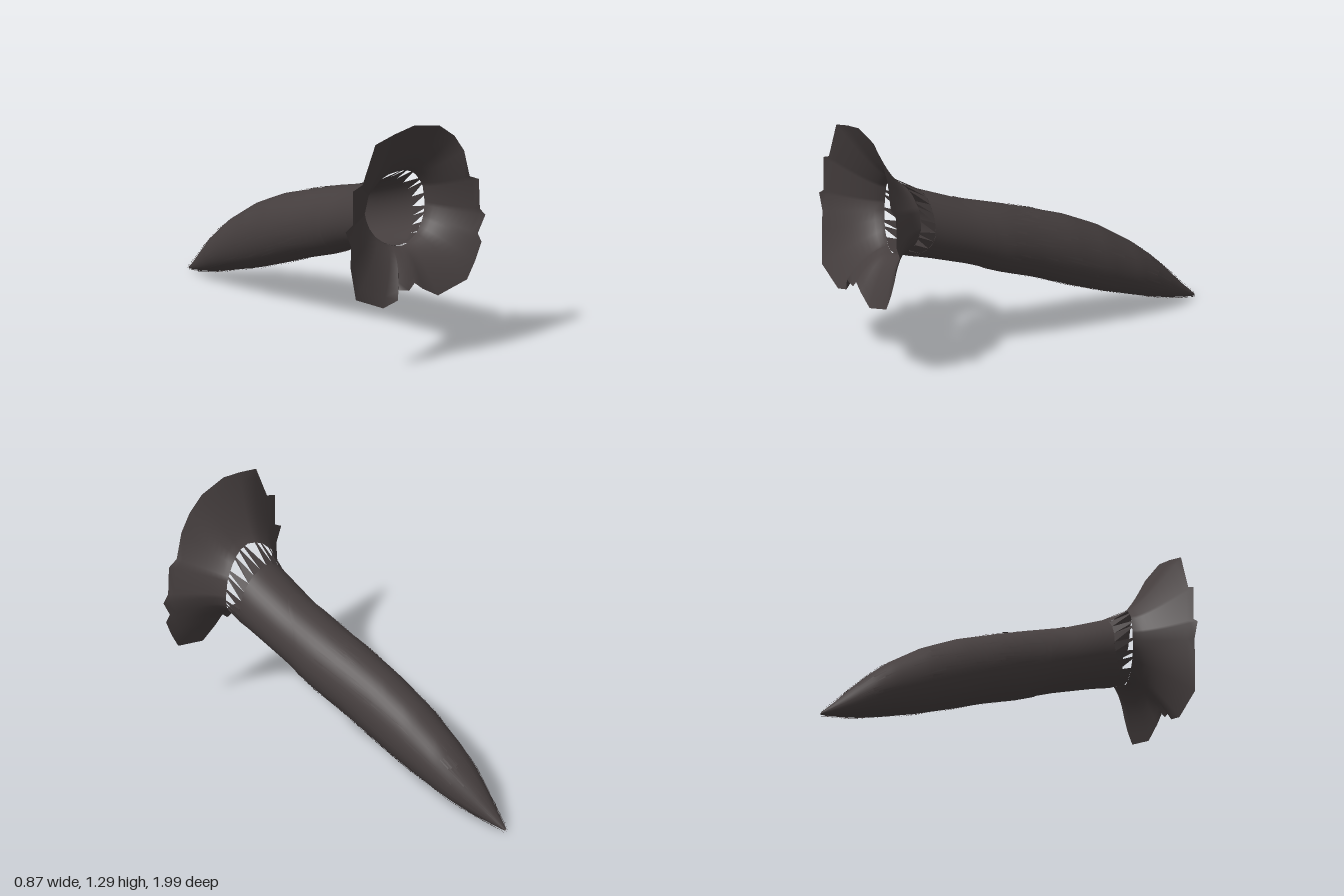
import * as THREE from 'three';

const charcoal = new THREE.MeshStandardMaterial({ color: 0x463f3f, side: THREE.DoubleSide });
charcoal.name = 'charcoal';

// Body stations: z, left x, right x, bottom y, top y
const STATIONS = [
  [0.80, -0.15, 0.23, 0.59, 0.98], [0.65, -0.13, 0.215, 0.55, 0.91],
  [0.40, -0.11, 0.21, 0.47, 0.81], [0.20, -0.11, 0.21, 0.39, 0.75],
  [0.00, -0.12, 0.195, 0.32, 0.68], [-0.20, -0.122, 0.185, 0.24, 0.61],
  [-0.40, -0.12, 0.17, 0.165, 0.515], [-0.60, -0.107, 0.143, 0.10, 0.385],
  [-0.70, -0.095, 0.118, 0.07, 0.30], [-0.80, -0.068, 0.08, 0.042, 0.205],
  [-0.90, -0.036, 0.036, 0.022, 0.10], [-0.97, -0.014, 0.008, 0.01, 0.03],
  [-0.99, -0.008, 0.0, 0.008, 0.014],
];

// Point on the body skin at depth z and angle a, lifted outward by lift
function skin(z, a, lift = 0) {
  let i = 0;
  while (i < STATIONS.length - 2 && z < STATIONS[i + 1][0]) i++;
  const A = STATIONS[i], B = STATIONS[i + 1];
  const t = THREE.MathUtils.clamp((z - A[0]) / (B[0] - A[0]), 0, 1);
  const [x0, x1, y0, y1] = [1, 2, 3, 4].map(k => A[k] + (B[k] - A[k]) * t);
  return [
    (x0 + x1) / 2 + Math.cos(a) * ((x1 - x0) / 2 + lift),
    Math.max(0.002, (y0 + y1) / 2 + Math.sin(a) * ((y1 - y0) / 2 + lift)), z,
  ];
}

// Closed loops of points joined into a smooth skin
function loft(rows, cols, point) {
  const pos = [], index = [];
  for (let r = 0; r <= rows; r++) for (let c = 0; c < cols; c++) pos.push(...point(r / rows, c));
  for (let r = 0; r < rows; r++) for (let c = 0; c < cols; c++) {
    const a = r * cols + c, b = r * cols + (c + 1) % cols;
    index.push(a, b, a + cols, b, b + cols, a + cols);
  }
  return build(pos, index);
}

function build(pos, index) {
  const g = new THREE.BufferGeometry();
  g.setAttribute('position', new THREE.Float32BufferAttribute(pos, 3));
  if (index) g.setIndex(index);
  g.computeVertexNormals();
  return g;
}

// Ragged outline of the flared collar, clockwise from the top
const RIM = [
  [-0.01, 1.29], [0.15, 1.26], [0.24, 1.19], [0.3, 1.1], [0.335, 0.955], [0.392, 0.93],
  [0.398, 0.77], [0.432, 0.73], [0.385, 0.64], [0.4, 0.595], [0.36, 0.5], [0.31, 0.41],
  [0.13, 0.357], [0.035, 0.41], [-0.015, 0.45], [-0.05, 0.415], [-0.115, 0.43],
  [-0.12, 0.375], [-0.21, 0.35], [-0.38, 0.425], [-0.405, 0.6], [-0.4, 0.71],
  [-0.435, 0.795], [-0.39, 0.825], [-0.39, 1.005], [-0.33, 1.03], [-0.25, 1.23], [-0.13, 1.265],
].reverse();

// Narrow inner ring of the collar
function collarRing(a) {
  return [0.035 + Math.cos(a) * 0.19, 0.79 + Math.sin(a) * 0.197,
    0.79 - 0.045 * Math.abs(Math.cos(a)) + 0.02 * Math.max(0, -Math.sin(a))];
}

function collarPoint(t, c) {
  const [x, y] = RIM[c];
  const a = Math.atan2(y - 0.79, x - 0.035);
  const inner = collarRing(a);
  const k = Math.pow(1 - t, 1.35 + 0.7 * Math.max(0, -Math.sin(a)));
  const rimZ = 0.98 + 0.02 * x + (y < 0.6 ? 0.012 : 0);
  return [inner[0] + (x - inner[0]) * k, inner[1] + (y - inner[1]) * k, rimZ + (inner[2] - rimZ) * t];
}

// Front edge of the neck; shallower gaps underneath
const neckFront = a => 0.655 + 0.1 * Math.max(0, -Math.sin(a)) ** 2;

// Pointed spikes bridging the neck and the collar
function spikes() {
  const pos = [], n = 22, step = Math.PI * 2 / n;
  for (let i = 0; i < n; i++) {
    const a = i * step, b = a + step, mid = a + step * (0.5 + 0.25 * Math.sin(i * 2.3));
    const w = 0.12 * step + (Math.sin(mid) < -0.65 ? 0.35 * step : 0);
    const p = skin(neckFront(a), a), q = skin(neckFront(b), b);
    const s = collarRing(mid - w), e = collarRing(mid + w);
    pos.push(...s, ...e, ...p, ...e, ...q, ...p);
  }
  return build(pos);
}

// Small seeded generator for the fur
let seed = 7;
const rnd = (lo, hi) => {
  seed = (seed * 16807) % 2147483647;
  return lo + (hi - lo) * seed / 2147483647;
};

// Thin tapered strands lying along the body
function strands(count, z0, z1, a0, a1, length, lift) {
  const pos = [];
  for (let i = 0; i < count; i++) {
    const z = rnd(z0, z1), a = rnd(a0, a1), w = rnd(0.02, 0.05);
    const end = Math.max(-0.99, z - rnd(0.5, 1) * length), m = (z + end) / 2;
    const tip = skin(end, a + rnd(-0.08, 0.08), rnd(0.4, 1) * lift);
    const s = skin(z, a, 0.002), l = skin(m, a - w, 0.007), r = skin(m, a + w, 0.007);
    pos.push(...s, ...r, ...l, ...l, ...r, ...tip);
  }
  return build(pos);
}

export function createModel() {
  const group = new THREE.Group();
  const add = (name, geometry) => {
    const mesh = new THREE.Mesh(geometry, charcoal);
    mesh.name = name;
    group.add(mesh);
  };
  const cols = 40, angle = c => c / cols * Math.PI * 2;

  add('flaredCollar', loft(10, RIM.length, collarPoint));
  add('neckSpikes', spikes());
  add('neck', loft(8, 44, (t, c) => {
    const a = c / 44 * Math.PI * 2, f = neckFront(a);
    return skin(f + (0.22 - f) * t, a);
  }));

  // Tail shell overlaps the neck with a rounded tongue on top
  add('tail', loft(40, cols, (t, c) => {
    const a = angle(c);
    const front = 0.3 + 0.16 * Math.max(0, Math.sin(a)) ** 4;
    return skin(front + (-0.98 - front) * t, a, 0.004 * (1 - t));
  }));

  // Fur: back fringe, both flanks, underside and tip
  const P = Math.PI;
  add('backFur', strands(30, 0.05, 0.2, 0.2 * P, 0.75 * P, 0.2, 0.012));
  add('leftFlankFur', strands(40, -0.4, 0.35, -0.25 * P, 0.25 * P, 0.3, 0.012));
  add('rightFlankFur', strands(40, -0.4, 0.35, 0.75 * P, 1.25 * P, 0.3, 0.01));
  add('undersideFur', strands(40, -0.7, 0.2, 1.2 * P, 1.9 * P, 0.3, 0.012));
  add('tipFur', strands(60, -0.8, -0.5, 0, 2 * P, 0.4, 0.012));
  return group;
}
